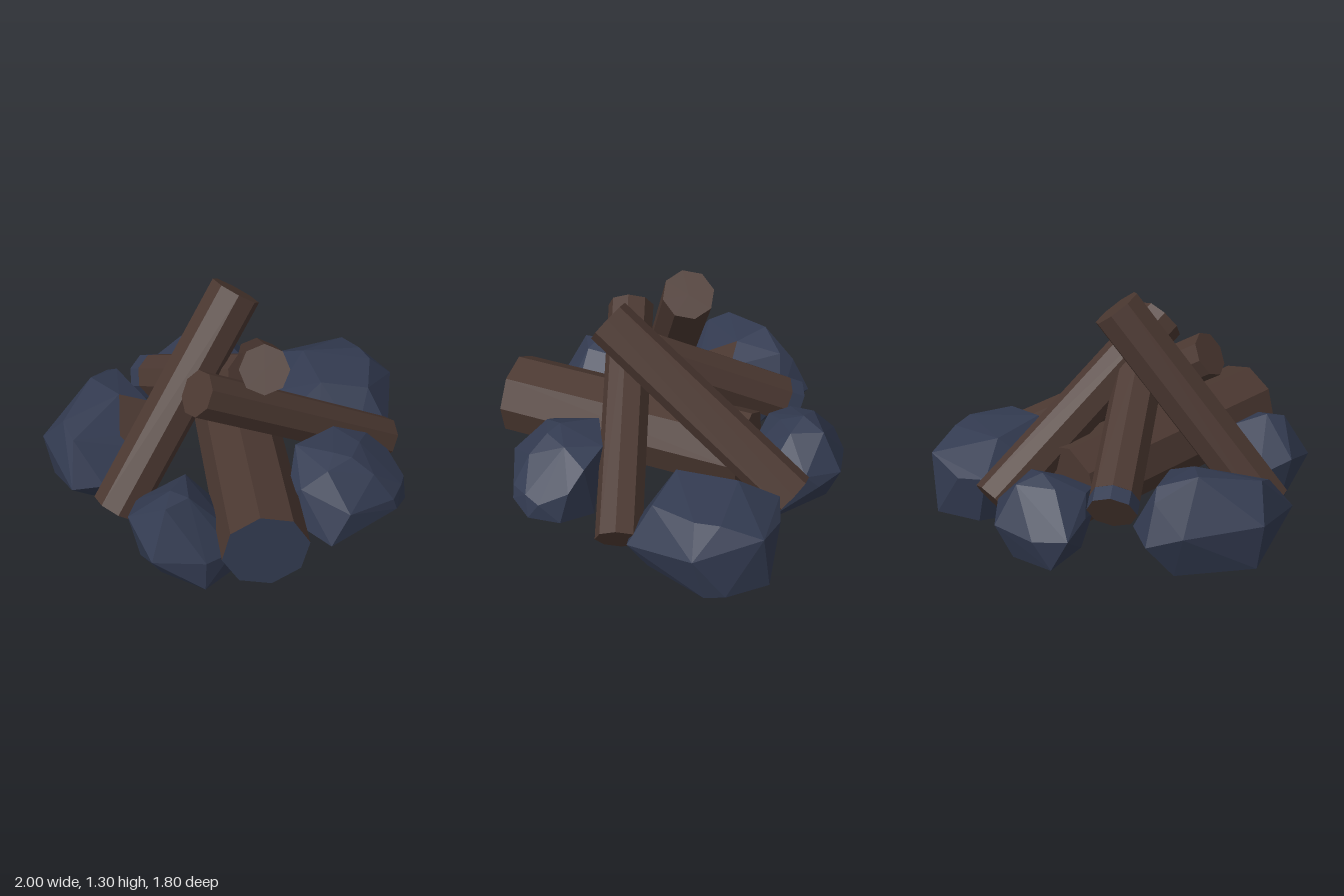
import * as THREE from 'three';
import { ConvexGeometry } from 'three/addons/geometries/ConvexGeometry.js';

const wood = new THREE.MeshStandardMaterial({ color: 0x4b3831, flatShading: true });
wood.name = 'darkWood';
const stone = new THREE.MeshStandardMaterial({ color: 0x333b51, flatShading: true });
stone.name = 'slateStone';

// Eight-sided log between two centre points; materials are [bark, end cap, start cap]
function log(name, from, to, radius, materials = [wood, wood, wood], roll = 0) {
  const a = new THREE.Vector3(...from);
  const b = new THREE.Vector3(...to);
  const dir = b.clone().sub(a);
  const geo = new THREE.CylinderGeometry(radius, radius, dir.length(), 8);
  geo.rotateY(roll);
  const mesh = new THREE.Mesh(geo, materials);
  mesh.name = name;
  mesh.position.copy(a).add(b).multiplyScalar(0.5);
  mesh.quaternion.setFromUnitVectors(new THREE.Vector3(0, 1, 0), dir.normalize());
  return mesh;
}

// Faceted rock: convex hull of corners, plus an optional flat wood-coloured facet
// given by its [x, z] corners and its plane height(x, z)
function rock(name, corners, patch = [], height = () => -1) {
  const facet = patch.map(([x, z]) => [x, height(x, z), z]);
  const geo = new ConvexGeometry([...corners, ...facet].map(c => new THREE.Vector3(...c)));
  const pos = geo.attributes.position;
  for (let i = 0; i < pos.count; i += 3) {
    const brown = [i, i + 1, i + 2].every(k => Math.abs(height(pos.getX(k), pos.getZ(k)) - pos.getY(k)) < 0.001);
    geo.addGroup(i, 3, brown ? 1 : 0);
  }
  const mesh = new THREE.Mesh(geo, [stone, wood]);
  mesh.name = name;
  return mesh;
}

export function createModel() {
  const group = new THREE.Group();
  group.name = 'campfire';

  // Thick log lying flat, with a slate-coloured front end
  group.add(log('thickLog', [-0.615, 0.352, 0.713], [0.215, 0.325, -0.37], 0.222, [wood, wood, stone]));

  // Leaning logs
  group.add(log('tallLog', [-0.805, 0.2, -0.178], [0.0, 1.213, -0.095], 0.135));
  group.add(log('rightLog', [0.57, 0.262, -0.495], [-0.185, 1.01, 0.285], 0.128));
  group.add(log('frontLog', [0.595, 0.2, 0.443], [-0.465, 0.91, 0.09], 0.122, [wood, wood, wood], Math.PI / 8));

  // Back log with a slate-coloured lower tip
  group.add(log('backLog', [-0.08, 0.42, -0.645], [-0.1, 0.81, 0.08], 0.128));
  group.add(log('backLogTip', [-0.078, 0.382, -0.715], [-0.08, 0.42, -0.645], 0.128, [stone, wood, wood]));

  // Ring of rocks
  group.add(rock('backLeftRock', [
    [-0.95, 0.3, -0.36], [-0.83, 0.38, -0.73], [-0.45, 0.35, -0.87], [-0.27, 0.3, -0.89],
    [-0.18, 0.3, -0.69], [-0.33, 0.25, -0.33], [-0.57, 0.25, -0.27], [-0.8, 0.28, -0.28],
    [-0.83, 0.5, -0.47], [-0.8, 0.55, -0.58], [-0.5, 0.61, -0.7], [-0.3, 0.55, -0.72],
    [-0.3, 0.5, -0.8], [-0.48, 0.05, -0.45], [-0.6, 0.05, -0.36], [-0.75, 0.08, -0.45],
    [-0.8, 0.12, -0.7], [-0.4, 0.1, -0.8], [-0.27, 0.12, -0.6],
  ], [[-0.59, -0.38], [-0.46, -0.52], [-0.33, -0.44], [-0.4, -0.31], [-0.57, -0.32]],
  (x, z) => 0.57 - 0.9 * (z + 0.52)));

  group.add(rock('backRock', [
    [0.04, 0.3, -0.6], [0.05, 0.35, -0.74], [0.11, 0.3, -0.9], [0.29, 0.28, -0.89],
    [0.5, 0.3, -0.79], [0.53, 0.25, -0.66], [0.53, 0.33, -0.58], [0.45, 0.3, -0.38],
    [0.2, 0.28, -0.37], [0.2, 0.5, -0.74], [0.28, 0.54, -0.65], [0.4, 0.5, -0.72],
    [0.36, 0.5, -0.55], [0.2, 0.48, -0.55], [0.05, 0.42, -0.54], [0.06, 0.45, -0.66],
    [0.5, 0.22, -0.35], [0.5, 0.055, -0.37], [0.33, 0.065, -0.4], [0.1, 0.095, -0.6],
    [0.42, 0.1, -0.75], [0.2, 0.11, -0.8], [0.2, 0.12, -0.88],
  ], [[0.32, -0.58], [0.3, -0.71], [0.17, -0.7], [0.11, -0.56], [0.18, -0.47]],
  (x, z) => 0.05 - 0.1 * (z + 0.36) + 0.03 * (0.5 - x)));

  group.add(rock('rightRock', [
    [0.64, 0.33, -0.4], [0.8, 0.3, -0.35], [0.98, 0.36, -0.2], [1, 0.05, 0],
    [0.98, 0.3, 0.17], [0.67, 0.22, 0.42], [0.5, 0.2, 0.34], [0.34, 0.13, 0.2],
    [0.36, 0.3, 0], [0.41, 0.3, -0.17], [0.46, 0.475, 0.1], [0.9, 0.43, 0],
    [0.85, 0.44, 0.12], [0.62, 0.465, -0.18], [0.65, 0.43, 0.28], [0.5, 0.03, 0.1],
    [0.95, 0.03, -0.25], [0.95, 0.03, 0.1], [0.5, 0.03, -0.2], [0.66, 0.05, 0.31],
    [0.7, 0.04, -0.33],
  ]));

  group.add(rock('frontRock', [
    [-0.26, 0.22, 0.62], [-0.22, 0.17, 0.8], [-0.22, 0.42, 0.58], [0.17, 0.24, 0.9],
    [0.3, 0.2, 0.85], [0.34, 0.3, 0.8], [0.26, 0.32, 0.85], [0.15, 0.31, 0.89],
    [0.38, 0.37, 0.65], [0.39, 0.2, 0.7], [0.32, 0.46, 0.55], [0.2, 0.5, 0.42],
    [-0.05, 0.5, 0.38], [-0.23, 0.35, 0.5], [-0.1, 0.51, 0.65], [0, 0.545, 0.6],
    [0.18, 0.52, 0.62], [0.05, 0.53, 0.68], [0.1, 0.45, 0.79], [-0.12, 0.34, 0.83],
    [0.1, 0.14, 0.45], [0.3, 0.15, 0.5], [-0.15, 0.15, 0.5],
  ]));

  group.add(rock('leftRock', [
    [-1, 0.26, 0.3], [-0.92, 0.35, 0.04], [-0.76, 0.3, -0.07], [-0.6, 0.3, -0.03],
    [-0.48, 0.3, 0.2], [-0.55, 0.25, 0.42], [-0.62, 0.2, 0.49], [-0.79, 0.22, 0.47],
    [-0.86, 0.5, 0.26], [-0.77, 0.53, 0.2], [-0.6, 0.49, 0.13], [-0.72, 0.5, 0.28],
    [-0.87, 0.05, 0.22], [-0.86, 0.05, 0.05], [-0.8, 0.05, 0.47], [-0.53, 0, 0.23],
    [-0.55, 0.05, 0.47], [-0.7, 0.05, 0.05],
  ]));

  return group;
}
